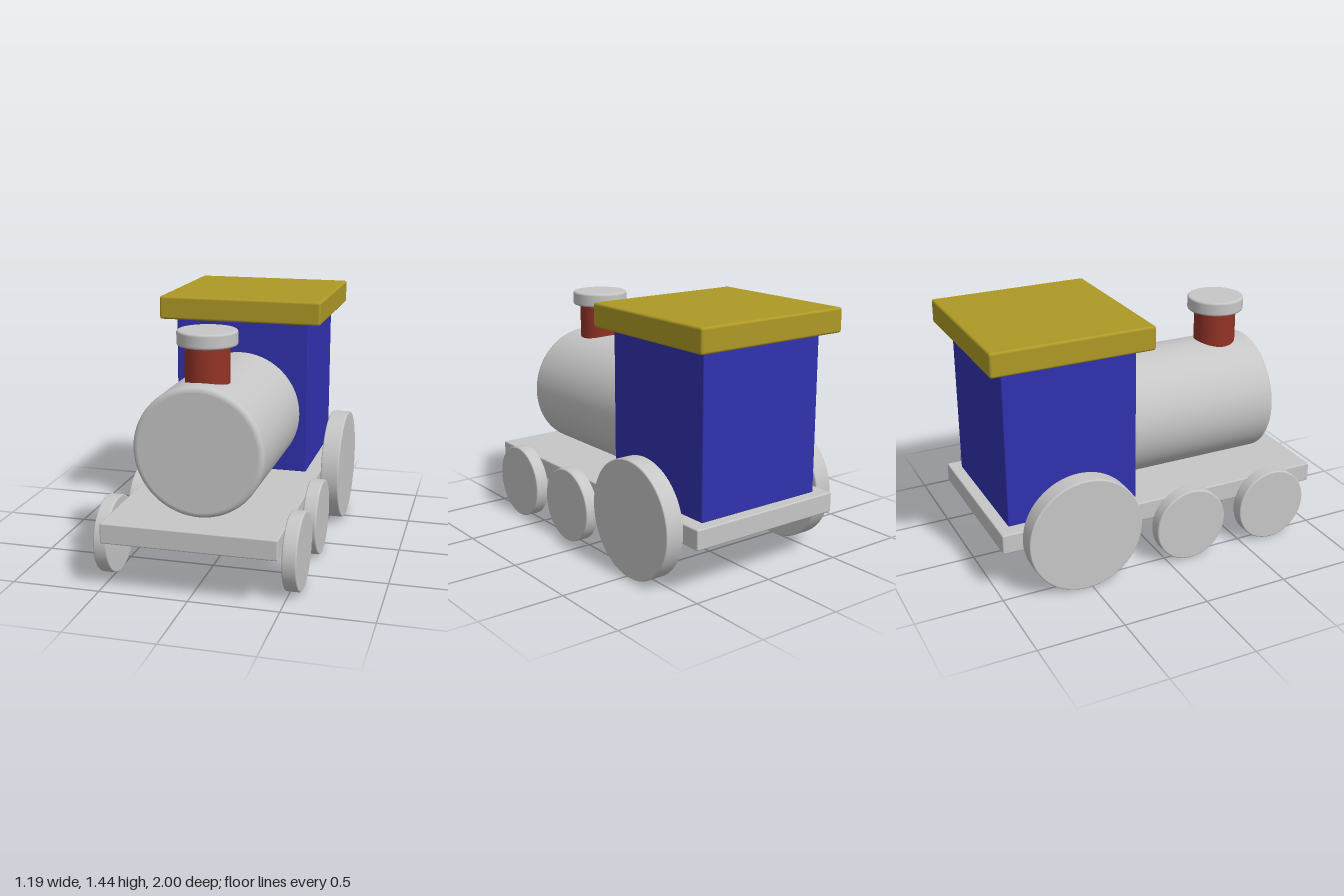
import * as THREE from 'three';
import { RoundedBoxGeometry } from 'three/addons/geometries/RoundedBoxGeometry.js';

const material = (name, color) => {
  const m = new THREE.MeshStandardMaterial({ color });
  m.name = name;
  return m;
};

// Solid disc or cylinder along y with rounded rims; support loops keep the flats flat.
function roundedCylinder(radius, height, bevel, sides = 64) {
  const h = height / 2, r = radius - bevel, steps = 5;
  const points = [new THREE.Vector2(0, -h), new THREE.Vector2(r - 0.002, -h)];
  for (const end of [-1, 1]) {
    for (let i = 0; i <= steps; i++) {
      const a = (end < 0 ? i - steps : i) / steps * Math.PI / 2;
      points.push(new THREE.Vector2(r + bevel * Math.cos(a), end * (h - bevel) + bevel * Math.sin(a)));
    }
    if (end < 0) points.push(new THREE.Vector2(radius, -h + bevel + 0.002), new THREE.Vector2(radius, h - bevel - 0.002));
  }
  points.push(new THREE.Vector2(r - 0.002, h), new THREE.Vector2(0, h));
  return new THREE.LatheGeometry(points, sides);
}

export function createModel() {
  const model = new THREE.Group();
  model.name = 'toyTrain';
  const grey = material('light grey', 0xc6c6c6);
  const blue = material('blue', 0x3131b0);
  const yellow = material('mustard yellow', 0xae9926);
  const red = material('brick red', 0x933326);

  const add = (name, geometry, mat, x, y, z) => {
    const mesh = new THREE.Mesh(geometry, mat);
    mesh.name = name;
    mesh.position.set(x, y, z);
    model.add(mesh);
    return mesh;
  };

  // Chassis, cab and overhanging roof
  add('chassis', new RoundedBoxGeometry(0.97, 0.115, 1.98, 3, 0.008), grey, 0, 0.338, 0.01);
  add('cab', new RoundedBoxGeometry(0.806, 0.91, 0.776, 3, 0.006), blue, 0, 0.85, -0.527);
  add('roof', new RoundedBoxGeometry(0.975, 0.138, 0.94, 3, 0.014), yellow, 0, 1.377, -0.53);

  // Boiler lies along z
  add('boiler', roundedCylinder(0.363, 0.94, 0.03, 96).rotateX(Math.PI / 2), grey, 0, 0.758, 0.33);

  // Chimney and its cap
  add('chimney', new THREE.CylinderGeometry(0.123, 0.123, 0.32, 64), red, 0, 1.16, 0.587);
  add('chimneyCap', roundedCylinder(0.165, 0.082, 0.012), grey, 0, 1.345, 0.587);

  // Wheels: two small pairs in front, one large pair under the cab
  const wheels = [
    ['frontWheel', 0.219, 0.08, 0.689],
    ['middleWheel', 0.219, 0.08, 0.143],
    ['rearWheel', 0.337, 0.11, -0.53],
  ];
  for (const [name, radius, width, z] of wheels) {
    const geometry = roundedCylinder(radius, width, 0.008).rotateZ(Math.PI / 2);
    for (const [side, s] of [['left', 1], ['right', -1]]) {
      add(`${side} ${name}`, geometry, grey, s * (0.484 + width / 2), radius + 0.003, z);
    }
  }
  return model;
}
